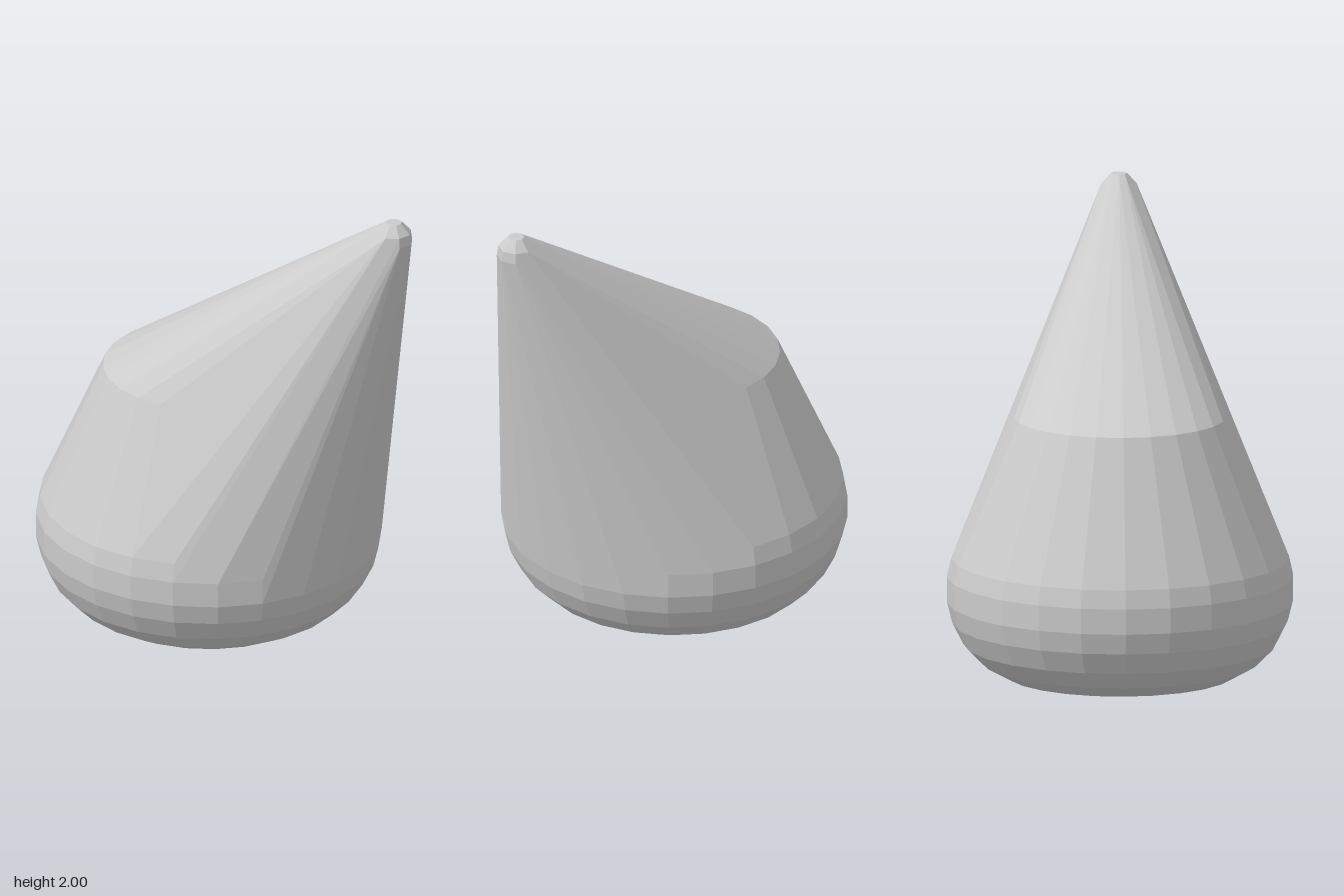
import * as THREE from 'three';
import { ConvexGeometry } from 'three/addons/geometries/ConvexGeometry.js';

// Points of a horizontal ring
function ring(cx, y, cz, radius, sides) {
  return Array.from({ length: sides }, (_, i) => {
    const a = ((i + 0.5) / sides) * Math.PI * 2;
    return new THREE.Vector3(cx + radius * Math.cos(a), y, cz + radius * Math.sin(a));
  });
}

export function createModel() {
  const group = new THREE.Group();
  const points = [];

  // Rounded base with a flat foot, then the shoulder: [radius, height]
  const profile = [
    [0.49, 0], [0.59, 0.055], [0.67, 0.135], [0.718, 0.23],
    [0.74, 0.32], [0.74, 0.43], [0.722, 0.51], [0.453, 1.12],
  ];
  for (const [r, y] of profile) points.push(...ring(-0.1, y, 0, r, 24));

  // Small rounded tip, off to the left and back
  const tip = [[0.07, 1.87], [0.083, 1.91], [0.076, 1.955], [0.035, 2]];
  for (const [r, y] of tip) points.push(...ring(0.74, y, -0.32, r, 8));

  // A taut skin wraps the base, shoulder and tip
  const body = new THREE.Mesh(
    new ConvexGeometry(points),
    new THREE.MeshStandardMaterial({ color: 0xcccccc, flatShading: true })
  );
  body.name = 'leaningConeBody';
  group.add(body);
  return group;
}
